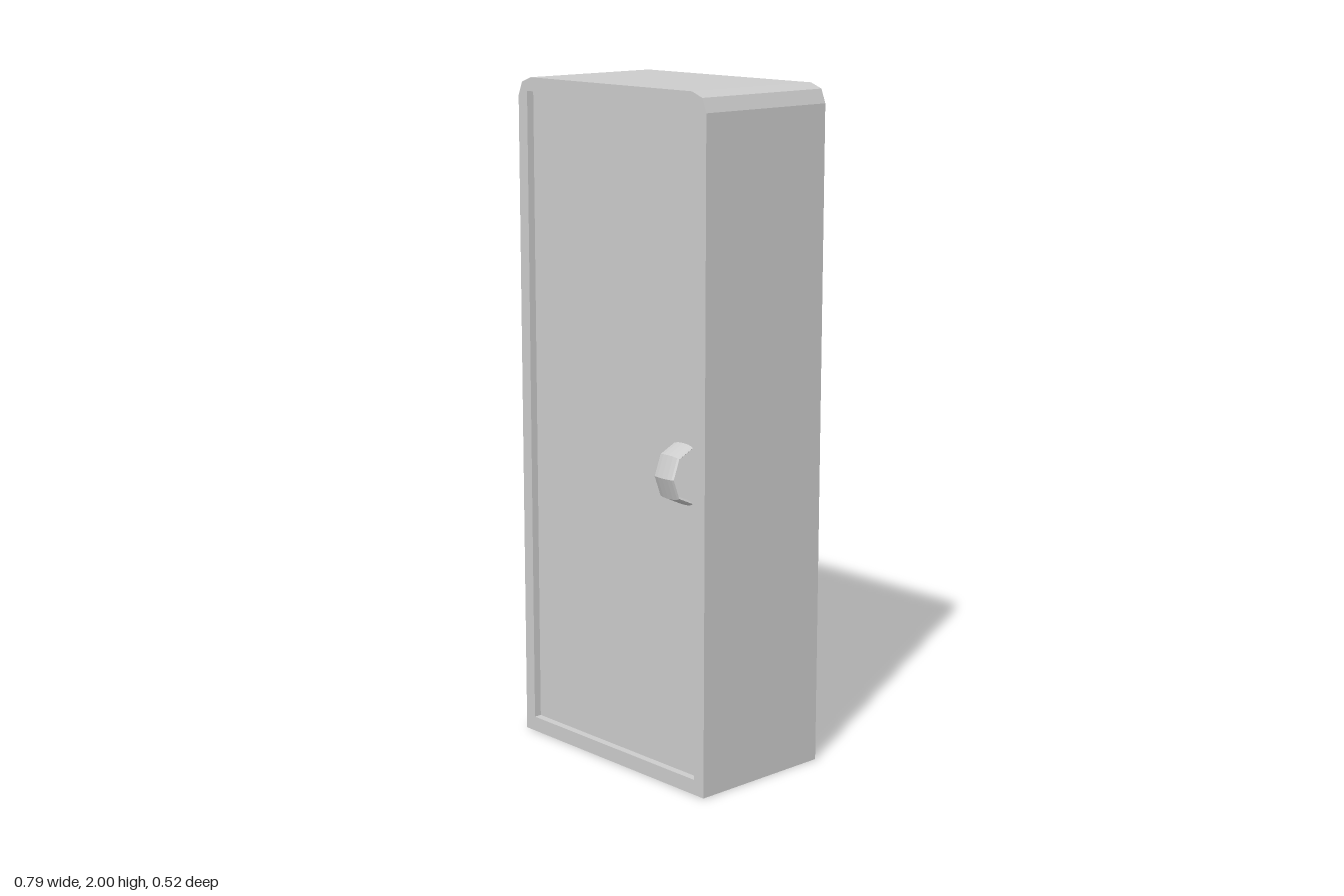
import * as THREE from 'three';

const HALF_W = 0.396, HEIGHT = 2;
const BACK = -0.26, FRONT = 0.2, DOOR_Z = 0.177;

// Front outline: square base, chamfer-rounded top corners
function outline() {
  const side = [[HALF_W, 0], [HALF_W, 1.945], [0.38, 1.985], [0.34, HEIGHT]];
  const mirrored = side.map(([x, y]) => [-x, y]).reverse();
  return new THREE.Shape([...side, ...mirrored].map(([x, y]) => new THREE.Vector2(x, y)));
}

function slab(shape, z0, z1) {
  const geometry = new THREE.ExtrudeGeometry(shape, { depth: z1 - z0, bevelEnabled: false });
  return geometry.translate(0, 0, z0);
}

export function createModel() {
  const material = new THREE.MeshStandardMaterial({ color: 0xcccccc, flatShading: true });
  const group = new THREE.Group();
  group.name = 'cabinet';

  const add = (name, geometry) => {
    const mesh = new THREE.Mesh(geometry, material);
    mesh.name = name;
    group.add(mesh);
    return mesh;
  };

  // Solid case, its front face forming the recessed door
  add('caseAndDoor', slab(outline(), BACK, DOOR_Z));

  // Raised rim around the door
  const rim = outline();
  rim.holes.push(new THREE.Path([[-0.357, 0.045], [-0.357, 1.96], [0.357, 1.96], [0.357, 0.045]]
    .map(([x, y]) => new THREE.Vector2(x, y))));
  add('doorRim', slab(rim, DOOR_Z, FRONT));

  // Handle: half ring of four segments, widened into a flat strap
  const ring = new THREE.TorusGeometry(0.08, 0.009, 12, 4, Math.PI);
  ring.applyMatrix4(new THREE.Matrix4().makeBasis(
    new THREE.Vector3(0, 1, 0), new THREE.Vector3(0, 0, 1), new THREE.Vector3(1, 0, 0)));
  ring.scale(4.4, 1, 0.9);
  add('doorHandle', ring).position.set(0.283, 0.93, DOOR_Z);

  return group;
}
